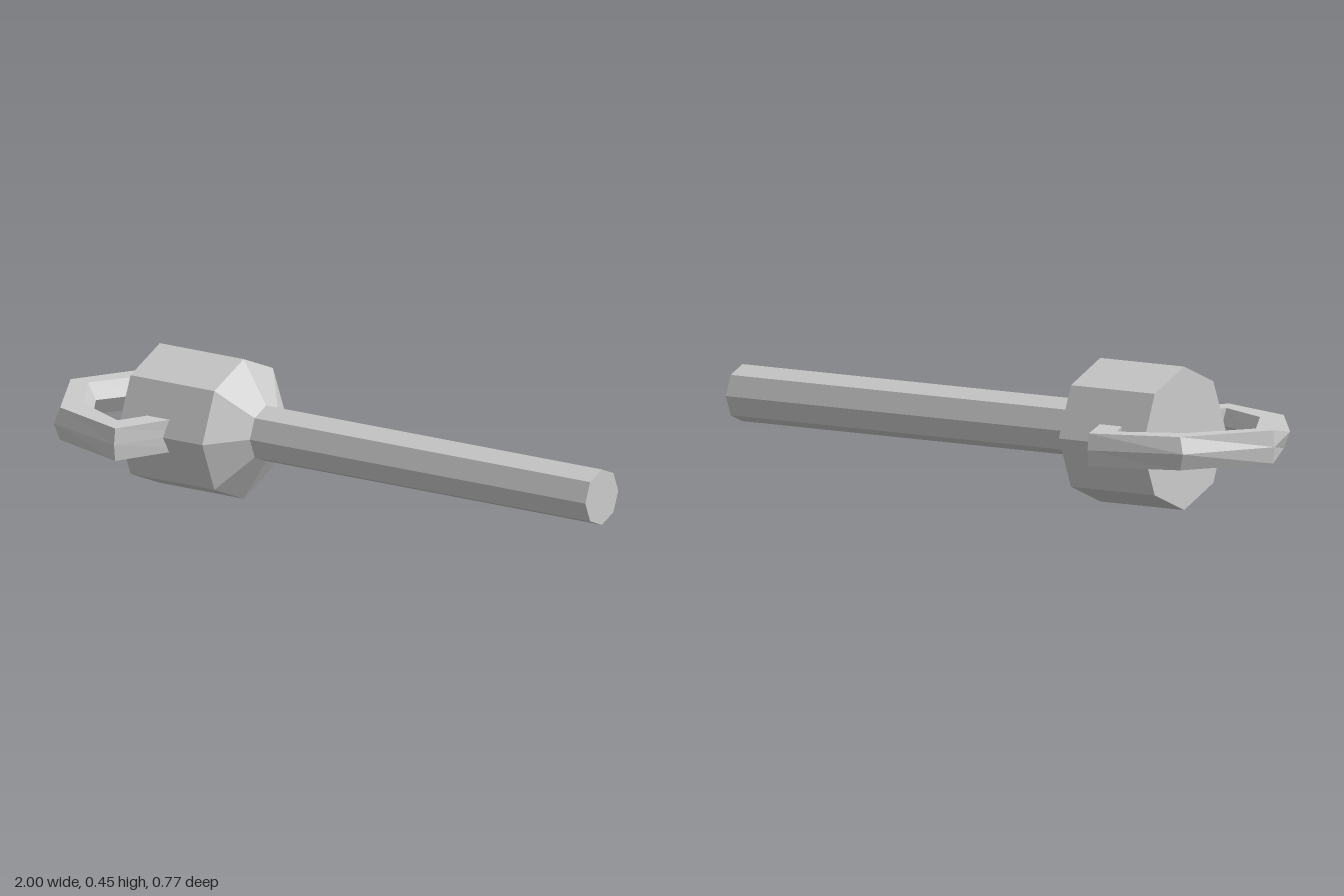
import * as THREE from 'three';

const AXIS_Y = 0.224;
const material = new THREE.MeshStandardMaterial({ color: 0xcccccc, flatShading: true });

// Eight-sided solid turned around the x axis; profile is [radius, x]
function turned(name, profile) {
  const geometry = new THREE.LatheGeometry(profile.map(([r, x]) => new THREE.Vector2(r, x)), 8);
  geometry.rotateZ(-Math.PI / 2);
  const mesh = new THREE.Mesh(geometry, material);
  mesh.name = name;
  mesh.position.y = AXIS_Y;
  return mesh;
}

// Angular loop handle: six-sided sections swept from the back arm round to the front arm
function loopHandle() {
  const half = 0.052;
  // Per section, as [x, z]: outer ridge, outer edge, inner edge, inner ridge
  const arm = [
    [[-1, 0], [-0.995, 0], [-0.93, 0], [-0.9, 0]],
    [[-0.857, 0.29], [-0.84, 0.28], [-0.805, 0.202], [-0.787, 0.183]],
    [[-0.565, 0.385], [-0.565, 0.378], [-0.613, 0.297], [-0.608, 0.28]],
    [[-0.446, 0.12], [-0.446, 0.12], [-0.527, 0.12], [-0.52, 0.12]], // buried in the head
  ];
  const mirrored = arm.slice(1).reverse().map(s => s.map(([x, z]) => [x, -z]));
  const rings = [...mirrored, ...arm].map(([oRidge, o, i, iRidge]) => [
    [o[0], half, o[1]], [oRidge[0], 0, oRidge[1]], [o[0], -half, o[1]],
    [i[0], -half, i[1]], [iRidge[0], 0, iRidge[1]], [i[0], half, i[1]],
  ]);
  const n = 6, index = [];
  for (let r = 0; r < rings.length - 1; r++) {
    for (let j = 0; j < n; j++) {
      const a = r * n + j, b = r * n + (j + 1) % n;
      index.push(a, b, b + n, a, b + n, a + n);
    }
  }
  const geometry = new THREE.BufferGeometry();
  geometry.setAttribute('position', new THREE.Float32BufferAttribute(rings.flat(2), 3));
  geometry.setIndex(index);
  geometry.computeVertexNormals();
  const mesh = new THREE.Mesh(geometry, material);
  mesh.name = 'loopHandle';
  mesh.position.y = AXIS_Y + 0.002;
  return mesh;
}

export function createModel() {
  const model = new THREE.Group();
  model.name = 'model';
  model.add(
    // Head with a chamfered shoulder
    turned('head', [[0, -0.66], [0.224, -0.66], [0.224, -0.345], [0.089, -0.26], [0, -0.26]]),
    // Long shaft
    turned('shaft', [[0, -0.27], [0.089, -0.27], [0.089, 1], [0, 1]]),
    loopHandle(),
  );
  return model;
}
